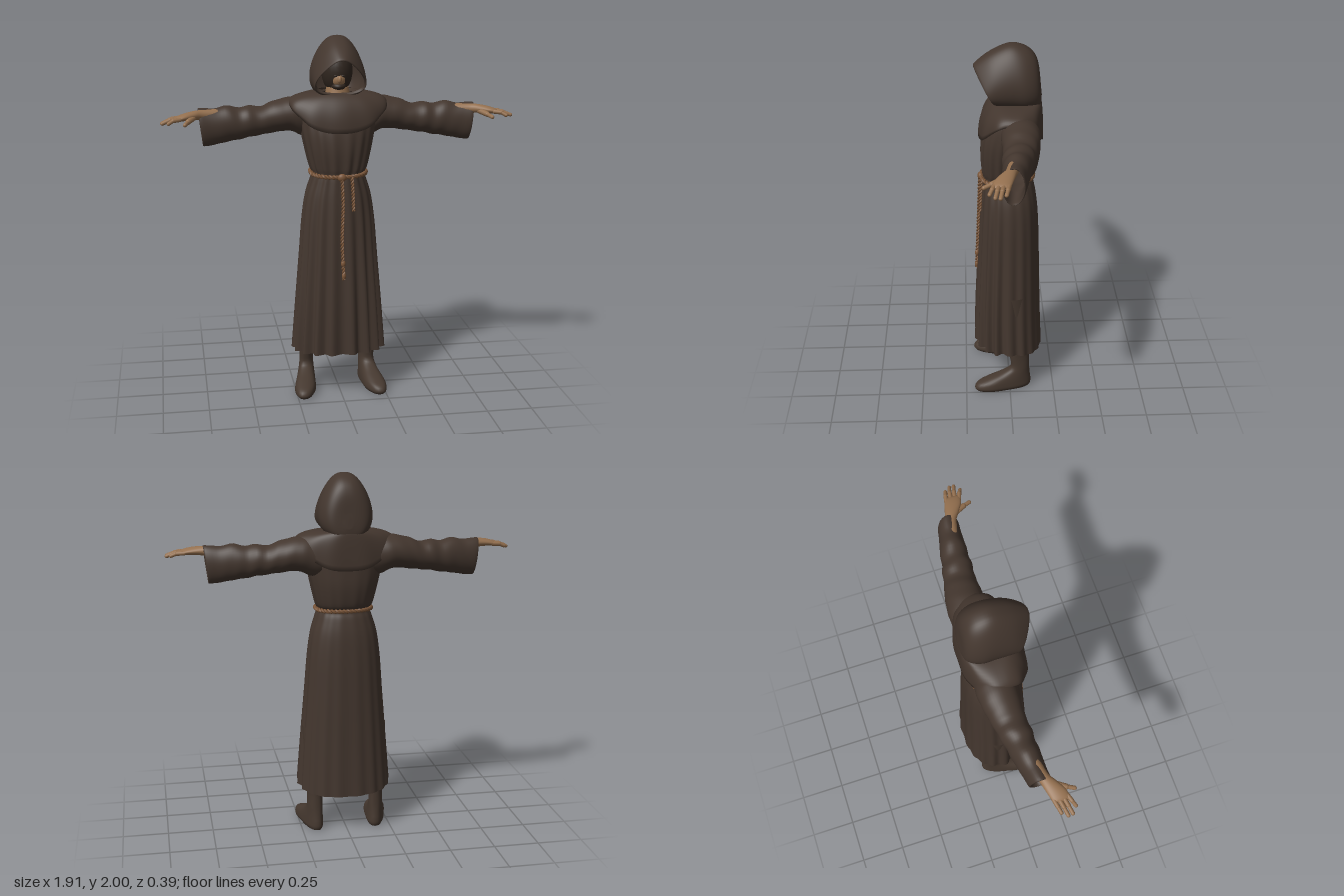
import * as THREE from 'three';

const mat = (name, color) => {
  const m = new THREE.MeshStandardMaterial({ color, side: THREE.DoubleSide });
  m.name = name;
  return m;
};
const V = (x, y, z) => new THREE.Vector3(x, y, z);
const TAU = Math.PI * 2;
const pow = (v, p) => Math.sign(v) * Math.abs(v) ** p;

// Catmull-Rom interpolation of station rows, n steps between neighbours
function smooth(rows, n) {
  const out = [];
  const at = i => rows[Math.min(Math.max(i, 0), rows.length - 1)];
  for (let i = 0; i < rows.length - 1; i++) {
    for (let k = 0; k < n; k++) {
      const t = k / n;
      out.push(at(i).map((b, j) => {
        const a = at(i - 1)[j], c = at(i + 1)[j], d = at(i + 2)[j];
        return 0.5 * (2 * b + (c - a) * t + (2 * a - 5 * b + 4 * c - d) * t * t + (3 * b - a - 3 * c + d) * t ** 3);
      }));
    }
  }
  out.push(rows[rows.length - 1]);
  return out;
}

// Surface through closed rings; point(row, angle, row index) gives each vertex
function loft(rows, seg, point, capStart = false, capEnd = false) {
  const pos = [], idx = [];
  rows.forEach((row, i) => {
    for (let j = 0; j < seg; j++) pos.push(...point(row, j / seg * TAU, i).toArray());
  });
  for (let i = 0; i < rows.length - 1; i++) {
    for (let j = 0; j < seg; j++) {
      const a = i * seg + j, b = i * seg + (j + 1) % seg;
      idx.push(a, b, a + seg, b, b + seg, a + seg);
    }
  }
  const cap = (start, flip) => {
    for (let j = 1; j < seg - 1; j++) idx.push(start, start + j + (flip ? 1 : 0), start + j + (flip ? 0 : 1));
  };
  if (capStart) cap(0, true);
  if (capEnd) cap((rows.length - 1) * seg, false);
  const g = new THREE.BufferGeometry();
  g.setAttribute('position', new THREE.Float32BufferAttribute(pos, 3));
  g.setIndex(idx);
  g.computeVertexNormals();
  return g;
}

export function createModel() {
  const cloth = mat('brown cloth', 0x43362e);
  const leather = mat('boot leather', 0x45382f);
  const skin = mat('skin', 0x94704f);
  const cord = mat('cord', 0x7a5538);
  const shade = mat('dark lining', 0x30261f);
  const model = new THREE.Group();

  const add = (name, geo, material, parent = model) => {
    const m = new THREE.Mesh(geo, material);
    m.name = name;
    parent.add(m);
    return m;
  };
  const ball = (name, p, r, material, parent) => {
    const m = add(name, new THREE.SphereGeometry(1, 24, 16), material, parent);
    m.position.set(...p);
    m.scale.set(...r);
  };
  const capsule = (name, a, b, r, material, parent) => {
    const d = b.clone().sub(a);
    const m = add(name, new THREE.CapsuleGeometry(r, d.length(), 5, 10), material, parent);
    m.position.copy(a).add(b).multiplyScalar(0.5);
    m.quaternion.setFromUnitVectors(V(0, 1, 0), d.normalize());
  };

  // Robe body from hem to neck: y, half width, front z, back z, fold depth
  const body = smooth([
    [0.25, 0.255, 0.188, -0.185, 0.07], [0.5, 0.238, 0.182, -0.175, 0.055],
    [0.8, 0.215, 0.168, -0.168, 0.04], [1.0, 0.2, 0.158, -0.162, 0.03],
    [1.13, 0.182, 0.15, -0.152, 0.02], [1.22, 0.155, 0.142, -0.135, 0.02],
    [1.262, 0.143, 0.138, -0.122, 0.025], [1.3, 0.158, 0.145, -0.148, 0.03],
    [1.4, 0.183, 0.152, -0.168, 0.02], [1.5, 0.203, 0.142, -0.17, 0.01],
    [1.6, 0.21, 0.11, -0.168, 0], [1.66, 0.18, 0.07, -0.16, 0], [1.685, 0.1, 0.04, -0.14, 0],
  ], 5);
  add('robe', loft(body, 144, ([y, rx, zf, zb, fold], a) => {
    const c = Math.cos(a), front = THREE.MathUtils.smoothstep(c, -0.5, 0.4);
    const k = 1 - fold * (0.25 + 0.75 * front) * (Math.cos(18 * a) + 0.1);
    const drop = 0.03 * Math.max(0, -c) * Math.max(0, 1 - (y - 0.25) / 0.4);
    const mid = (zf + zb) / 2, rz = (zf - zb) / 2;
    return V(rx * k * pow(Math.sin(a), 0.85), y - drop, mid + rz * k * pow(c, 0.85));
  }), cloth);

  // Shoulder cape, drooping at the chest and back
  const capeRows = [];
  for (let i = 0; i <= 12; i++) capeRows.push([i / 12]);
  capeRows.push([0.97]);
  add('shoulderCape', loft(capeRows, 96, ([t], a, i) => {
    const s = Math.abs(Math.sin(a)), c = Math.cos(a);
    const inner = i > 12 ? 0.012 : 0;
    const rim = 1.495 + 0.145 * s ** 2.4;
    const ripple = 1 + 0.012 * t * Math.cos(11 * a);
    const out = Math.sin(t * Math.PI / 2);
    const z = c > 0 ? 0.06 + 0.102 * out : 0.13 + 0.012 * out;
    return V((0.115 + 0.158 * out - inner) * ripple * pow(Math.sin(a), 0.9),
      1.7 - (1.7 - rim) * t ** 1.7, -0.02 + (z - inner + 0.02) * ripple * pow(c, 0.8));
  }), cloth);

  // Hood from opening rim to back: top y, z, bottom y, z, half width, base, taper
  const hood = smooth([
    [1.882, 0.165, 1.7, 0.065, 0.125, 0.5, 0.85],
    [1.89, 0.184, 1.688, 0.075, 0.135, 0.48, 0.88],
    [1.955, 0.1, 1.67, 0.045, 0.143, 0.65, 0.6], [1.998, 0, 1.66, -0.03, 0.145, 0.7, 0.52],
    [1.988, -0.075, 1.655, -0.09, 0.142, 0.72, 0.5], [1.95, -0.128, 1.66, -0.14, 0.122, 0.74, 0.45],
    [1.89, -0.155, 1.67, -0.168, 0.085, 0.8, 0.35], [1.8, -0.165, 1.72, -0.174, 0.02, 0.9, 0.2],
  ], 5);
  add('hood', loft(hood, 56, ([yt, zt, yb, zb, w, base, taper], a) => {
    const v = (1 - Math.cos(a)) / 2;
    return V(w * pow(Math.sin(a), 0.8) * (base + taper * v), yt + (yb - yt) * v, zt + (zb - zt) * v);
  }, false, true), cloth);

  // Shaded head inside the hood
  const head = new THREE.Group();
  head.name = 'head';
  model.add(head);
  ball('shadedHead', [0, 1.81, -0.03], [0.085, 0.125, 0.095], shade, head);
  ball('face', [0, 1.77, 0.02], [0.042, 0.045, 0.05], skin, head);
  ball('nose', [0, 1.772, 0.07], [0.012, 0.02, 0.014], skin, head);
  ball('beard', [0, 1.732, 0.025], [0.04, 0.022, 0.045], shade, head);
  for (const s of [-1, 1]) ball('eye', [s * 0.02, 1.79, 0.06], [0.01, 0.005, 0.006], shade, head);
  const neck = add('neck', new THREE.CylinderGeometry(0.06, 0.075, 0.07, 24), skin, head);
  neck.position.set(0, 1.69, -0.01);

  // Sleeve stations: x, top y, bottom y, front z, back z
  const sleeve = smooth([
    [0.14, 1.655, 1.45, 0.03, -0.15], [0.2, 1.668, 1.46, 0.045, -0.155],
    [0.26, 1.668, 1.485, 0.05, -0.155], [0.35, 1.648, 1.478, 0.045, -0.14],
    [0.42, 1.622, 1.468, 0.045, -0.122], [0.48, 1.632, 1.46, 0.052, -0.112],
    [0.53, 1.62, 1.45, 0.05, -0.098], [0.59, 1.635, 1.442, 0.055, -0.09],
    [0.66, 1.622, 1.43, 0.056, -0.072], [0.735, 1.628, 1.42, 0.06, -0.055],
    [0.73, 1.618, 1.43, 0.05, -0.045], [0.64, 1.61, 1.45, 0.04, -0.06],
  ], 4);

  // Boot stations: y, half width, front z, back z
  const boot = smooth([
    [0, 0.046, 0.19, -0.112], [0.018, 0.055, 0.202, -0.12], [0.045, 0.054, 0.185, -0.12],
    [0.07, 0.05, 0.125, -0.117], [0.1, 0.044, 0.045, -0.114], [0.135, 0.04, -0.005, -0.112],
    [0.2, 0.039, 0.0, -0.112], [0.28, 0.043, 0.008, -0.113], [0.6, 0.055, 0.04, -0.1],
  ], 4);

  for (const s of [-1, 1]) {
    const side = s > 0 ? 'left' : 'right';
    add(side + 'Sleeve', loft(sleeve, 40, ([x, yt, yb, zf, zb], a) => {
      const c = Math.cos(a);
      const wrinkle = 1 + 0.018 * Math.sin(x * 75 + 2 * a) * (1 - Math.abs(x - 0.45) * 2);
      const tilt = 0.012 * c * THREE.MathUtils.smoothstep(x, 0.5, 0.73);
      return V(s * (x + tilt), (yt + yb) / 2 + (yt - yb) / 2 * c * wrinkle,
        (zf + zb) / 2 + (zf - zb) / 2 * Math.sin(a) * wrinkle);
    }), cloth);

    // Hand: forearm and palm, four fingers and thumb
    const hand = new THREE.Group();
    hand.name = side + 'Hand';
    model.add(hand);
    const palm = smooth([
      [0.6, 1.585, 0.035, -0.01, 0.035], [0.72, 1.592, 0.028, 0.015, 0.03],
      [0.77, 1.594, 0.024, 0.035, 0.038], [0.82, 1.59, 0.02, 0.056, 0.046],
      [0.86, 1.583, 0.015, 0.066, 0.044], [0.875, 1.58, 0.007, 0.068, 0.036],
    ], 4);
    add('palm', loft(palm, 24, ([x, y, ry, z, rz], a) =>
      V(s * x, y + ry * Math.cos(a), z + rz * Math.sin(a)), true, true), skin, hand);
    const fingers = [[0.03, 0.922, 0.046, 1.567], [0.055, 0.944, 0.074, 1.562],
      [0.078, 0.942, 0.098, 1.564], [0.1, 0.91, 0.124, 1.566]];
    for (const [z0, x1, z1, y1] of fingers) {
      const knuckle = V(s * (x1 + 0.86) / 2, 1.58, (z0 + z1) / 2);
      capsule('finger', V(s * 0.85, 1.583, z0), knuckle, 0.0115, skin, hand);
      capsule('fingertip', knuckle, V(s * x1, y1, z1), 0.01, skin, hand);
    }
    capsule('thumb', V(s * 0.775, 1.585, 0.055), V(s * 0.808, 1.572, 0.11), 0.015, skin, hand);
    capsule('thumbTip', V(s * 0.808, 1.572, 0.11), V(s * 0.825, 1.562, 0.148), 0.011, skin, hand);

    // Boot with toes turned slightly outward
    add(side + 'Boot', loft(boot, 36, ([y, rx, zf, zb], a) => {
      const z = (zf + zb) / 2 + (zf - zb) / 2 * pow(Math.cos(a), 0.9);
      const ball = 1 + 0.15 * THREE.MathUtils.smoothstep(z, 0, 0.12);
      return V(s * (0.175 + 0.16 * (z + 0.06) + rx * ball * pow(Math.sin(a), 0.85)), y, z);
    }, true), leather);
  }

  // Two-strand twisted cord along a curve
  const rope = (name, curve, r, turns, closed = false) => {
    for (const phase of [0, Math.PI]) {
      const pts = [], n = turns * 8;
      for (let i = 0; i < n + (closed ? 0 : 1); i++) {
        const t = i / n, p = curve.getPointAt(t), d = curve.getTangentAt(t);
        const u = V(0, 1, 0).addScaledVector(d, -d.y);
        if (u.length() < 0.4) u.set(1, 0, 0);
        u.normalize();
        const w = d.clone().cross(u), a = t * turns * TAU + phase;
        pts.push(p.addScaledVector(u, r * 0.6 * Math.cos(a)).addScaledVector(w, r * 0.6 * Math.sin(a)));
      }
      add(name, new THREE.TubeGeometry(new THREE.CatmullRomCurve3(pts, closed), n * 2, r * 0.7, 6, closed), cord);
    }
  };
  const waist = [];
  for (let i = 0; i < 24; i++) {
    const a = i / 24 * TAU, c = Math.cos(a);
    waist.push(V(0.151 * pow(Math.sin(a), 0.85), 1.262 - 0.006 * c, 0.008 + 0.14 * pow(c, 0.85)));
  }
  rope('belt', new THREE.CatmullRomCurve3(waist, true), 0.01, 22, true);
  rope('longCord', new THREE.CatmullRomCurve3([V(0, 1.25, 0.158), V(0.004, 1.1, 0.164),
    V(-0.002, 0.9, 0.172), V(0.006, 0.69, 0.182)]), 0.008, 14);
  rope('shortCord', new THREE.CatmullRomCurve3([V(0.055, 1.255, 0.15), V(0.06, 1.16, 0.156),
    V(0.062, 1.07, 0.16)]), 0.008, 5);
  ball('beltKnot', [0, 1.255, 0.154], [0.024, 0.022, 0.016], cord);
  ball('cordKnot', [0.003, 0.78, 0.178], [0.013, 0.02, 0.012], cord);
  ball('cordEnd', [0.006, 0.71, 0.181], [0.012, 0.02, 0.011], cord);

  return model;
}
